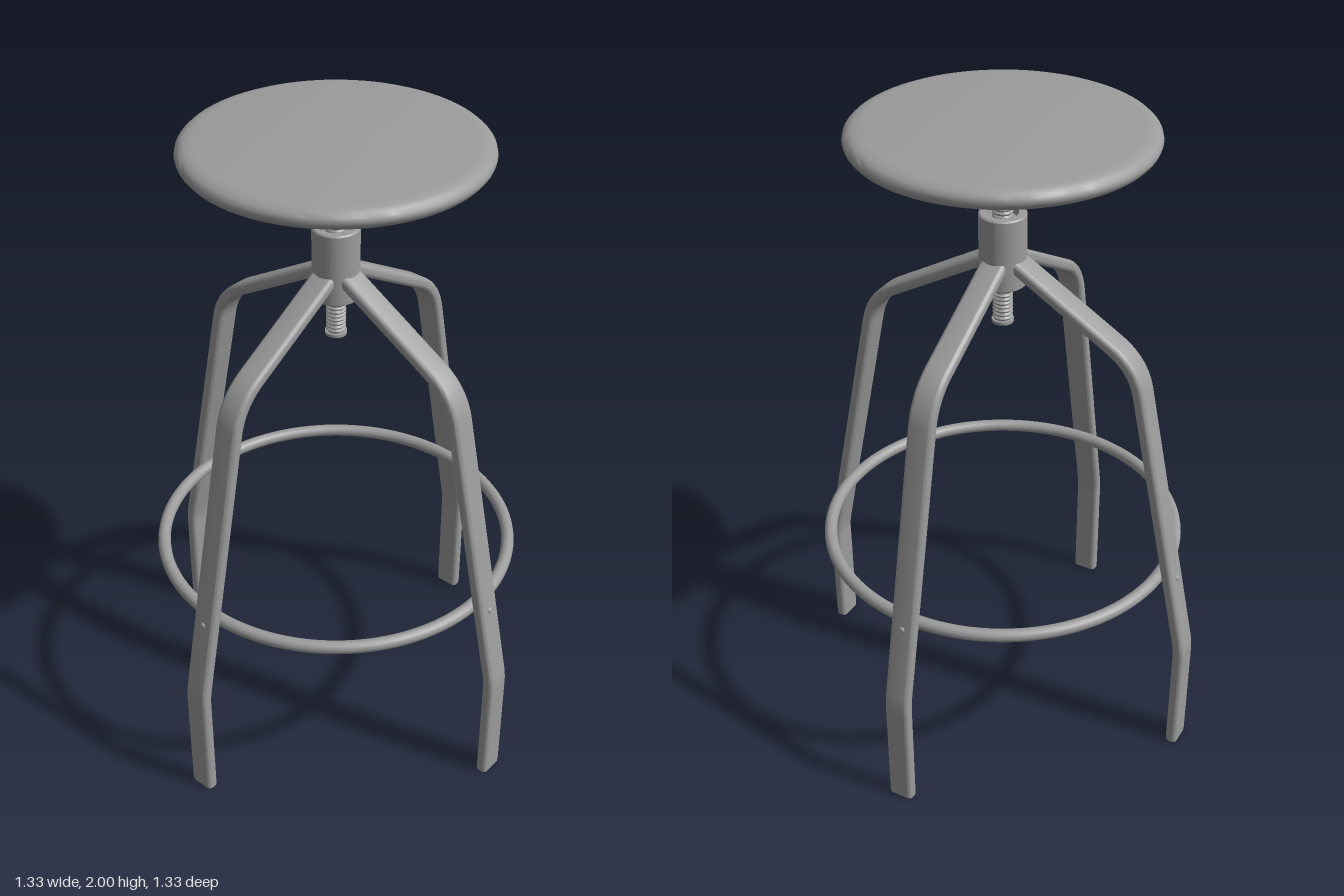
import * as THREE from 'three';
import { toCreasedNormals } from 'three/addons/utils/BufferGeometryUtils.js';

const material = new THREE.MeshStandardMaterial({ color: 0x9c9c9c });
const V2 = (x, y) => new THREE.Vector2(x, y);

function part(name, geometry, x = 0, y = 0, z = 0) {
  const mesh = new THREE.Mesh(geometry, material);
  mesh.name = name;
  mesh.position.set(x, y, z);
  return mesh;
}

function lathe(points, segments = 64) {
  const g = new THREE.LatheGeometry(points.map(([x, y]) => V2(x, y)), segments);
  return toCreasedNormals(g, 0.6);
}

// Polyline with each inner corner rounded; corners are [x, y, tangent length]
function roundedPath(corners, steps) {
  const pts = [];
  corners.forEach(([x, y, t], i) => {
    const c = V2(x, y);
    if (!t) return pts.push(c);
    const toward = (k) => V2(corners[k][0], corners[k][1]).sub(c).setLength(t).add(c);
    pts.push(...new THREE.QuadraticBezierCurve(toward(i - 1), c, toward(i + 1)).getPoints(steps));
  });
  return pts;
}

// Rounded rectangle section, [across the thickness, across the width]
function roundedSection(thick, width, r, steps = 5) {
  const loop = [];
  const centres = [[1, 1], [-1, 1], [-1, -1], [1, -1]];
  centres.forEach(([sx, sy], q) => {
    for (let i = 0; i <= steps; i++) {
      const a = (q + i / steps) * Math.PI / 2;
      loop.push([sx * (thick / 2 - r) + r * Math.cos(a), sy * (width / 2 - r) + r * Math.sin(a)]);
    }
  });
  return loop;
}

// Sweep a section along a path in the XY plane, with flat end caps
function sweep(path, section) {
  const pos = [], index = [], n = section.length, last = path.length - 1;
  const direction = (i) => path[i + 1].clone().sub(path[i]).normalize();
  path.forEach((p, i) => {
    const before = direction(Math.max(i - 1, 0));
    const d = direction(Math.min(i, last - 1)).add(before).normalize();
    const miter = 1 / d.dot(before);
    for (const [u, w] of section) pos.push(p.x + d.y * u * miter, p.y - d.x * u * miter, w);
  });
  for (let i = 0; i < last; i++) {
    for (let k = 0; k < n; k++) {
      const a = i * n + k, b = i * n + (k + 1) % n;
      index.push(a, a + n, b, b, a + n, b + n);
    }
  }
  for (let k = 1; k < n - 1; k++) {
    index.push(0, k, k + 1);
    index.push(last * n, last * n + k + 1, last * n + k);
  }
  const g = new THREE.BufferGeometry();
  g.setAttribute('position', new THREE.Float32BufferAttribute(pos, 3));
  g.setIndex(index);
  return toCreasedNormals(g, 0.6);
}

export function createModel() {
  const stool = new THREE.Group();
  stool.name = 'stool';

  // Round seat with a softly rolled rim and slightly dished underside
  stool.add(part('seat', lathe([
    [0, 1.92], [0.2, 1.921], [0.3, 1.925], [0.38, 1.932], [0.41, 1.938], [0.428, 1.947],
    [0.437, 1.958], [0.44, 1.968], [0.437, 1.98], [0.428, 1.989], [0.413, 1.996], [0.39, 1.999], [0, 2],
  ], 96)));

  // Mounting plate with four bolts
  stool.add(part('mountingPlate', new THREE.CylinderGeometry(0.2, 0.2, 0.008, 64), 0, 1.919, 0));
  for (let i = 0; i < 4; i++) {
    const a = Math.PI / 4 + i * Math.PI / 2;
    const bolt = part('plateBolt', new THREE.SphereGeometry(0.012, 16, 10), 0.12 * Math.cos(a), 1.915, 0.12 * Math.sin(a));
    bolt.scale.y = 0.5;
    stool.add(bolt);
  }

  // Threaded height spindle with an end stop
  const thread = [[0, 1.383], [0.033, 1.383], [0.033, 1.393], [0.026, 1.393]];
  const pitch = 0.0125;
  for (let y = 1.395; y < 1.905; y += pitch) {
    thread.push([0.025, y], [0.03, y + pitch * 0.4], [0.03, y + pitch * 0.6]);
  }
  thread.push([0.025, 1.918], [0, 1.918]);
  stool.add(part('threadedSpindle', lathe(thread, 32)));

  // Hub collar, bored through for the spindle
  stool.add(part('hub', lathe([
    [0.03, 1.51], [0.066, 1.51], [0.07, 1.514], [0.07, 1.731], [0.066, 1.735],
    [0.046, 1.735], [0.042, 1.715], [0.03, 1.715], [0.03, 1.51],
  ])));

  // Four bent legs, each with a foot cap and a screw through to the ring
  const path = roundedPath([
    [0.646, 0.01], [0.646, 0.385, 0.03], [0.442, 1.358, 0.09], [0.04, 1.592],
  ], 10);
  const legGeometry = sweep(path, roundedSection(0.038, 0.081, 0.014));
  const footGeometry = sweep([V2(0.646, 0), V2(0.646, 0.012)], roundedSection(0.036, 0.079, 0.013));
  const screwGeometry = new THREE.SphereGeometry(0.011, 16, 10);
  for (let i = 0; i < 4; i++) {
    const leg = new THREE.Group();
    leg.name = 'leg';
    const screw = part('ringScrew', screwGeometry, 0.607, 0.645, 0);
    screw.scale.x = 0.8;
    leg.add(part('legTube', legGeometry), part('footCap', footGeometry), screw);
    leg.rotation.y = i * Math.PI / 2;
    stool.add(leg);
  }

  // Footrest ring inside the legs
  const ring = part('footrestRing', new THREE.TorusGeometry(0.551, 0.02, 16, 128), 0, 0.64, 0);
  ring.rotation.x = Math.PI / 2;
  stool.add(ring);

  return stool;
}
